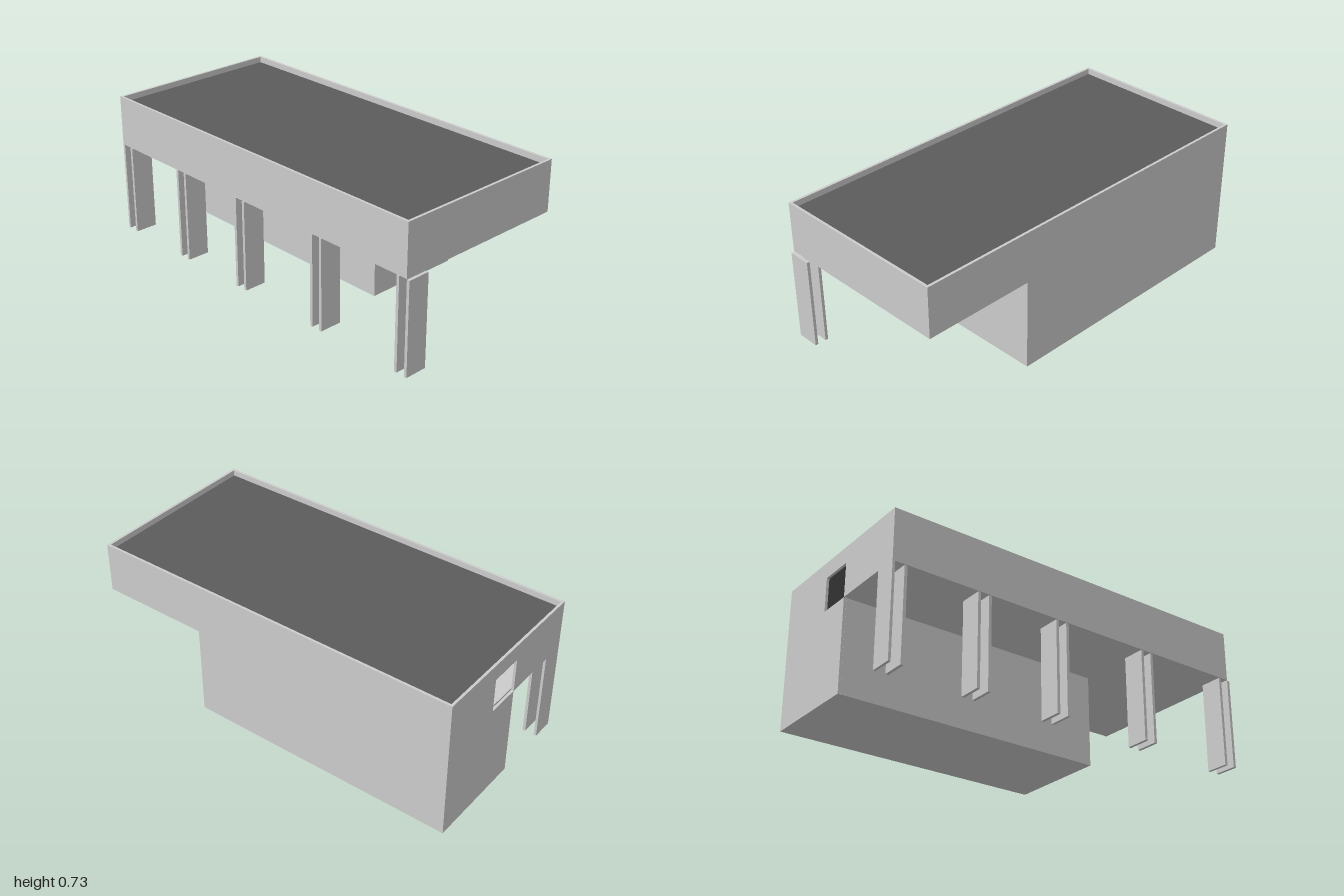
import * as THREE from 'three';

const HALF = 0.466;    // half of the building width
const T = 0.013;       // wall thickness
const TOP = 0.73;      // parapet top
const DECK = 0.47;     // underside of the upper storey
const BACK = -1, FRONT = 0.985;
const ROOM_X = -0.06;  // inner side of the ground floor room
const ROOM_Z = 0.41;   // front of the ground floor room

export function createModel() {
  const group = new THREE.Group();
  const grey = new THREE.MeshStandardMaterial({ color: 0xcccccc, flatShading: true });
  const dark = new THREE.MeshStandardMaterial({ color: 0x5c5c5c, flatShading: true });

  // Box given by its limits on each axis
  const box = (name, x0, x1, y0, y1, z0, z1, material = grey) => {
    const mesh = new THREE.Mesh(new THREE.BoxGeometry(x1 - x0, y1 - y0, z1 - z0), material);
    mesh.position.set((x0 + x1) / 2, (y0 + y1) / 2, (z0 + z1) / 2);
    mesh.name = name;
    group.add(mesh);
  };

  // Wall cut from an outline, T thick
  const wall = (name, points) => {
    const shape = new THREE.Shape(points.map(([x, y]) => new THREE.Vector2(x, y)));
    const mesh = new THREE.Mesh(new THREE.ExtrudeGeometry(shape, { depth: T, bevelEnabled: false }), grey);
    mesh.name = name;
    group.add(mesh);
    return mesh;
  };

  // Back wall: runs down into the last pillar, with a square window above the room's corner
  const e = 0.0005;
  wall('backWall', [
    [HALF, 0], [HALF, TOP], [-HALF, TOP], [-HALF, 0], [-0.35, 0], [-0.35, DECK],
    [ROOM_X - e, DECK], [ROOM_X - e, 0.645], [0.115, 0.645], [0.115, DECK],
    [ROOM_X + e, DECK - e], [ROOM_X + e, 0],
  ]).position.z = BACK;

  // L-shaped wall covering both storeys on the room side
  const sideWall = wall('tallSideWall', [
    [-FRONT + T, DECK], [-ROOM_Z, DECK], [-ROOM_Z, 0],
    [-BACK - T, 0], [-BACK - T, TOP], [-FRONT + T, TOP],
  ]);
  sideWall.rotation.y = Math.PI / 2;
  sideWall.position.x = HALF - T;

  // Upper storey
  box('shortSideWall', -HALF, -HALF + T, DECK, TOP, BACK + T, FRONT - T);
  box('frontWall', -HALF, HALF, DECK, TOP, FRONT - T, FRONT);
  box('upperFloor', -HALF + T, HALF - T, DECK, DECK + 0.01, BACK + T, FRONT - T);
  box('roof', -HALF + T, HALF - T, 0.685, 0.7, BACK + T, FRONT - T, dark);

  // Ground floor room
  box('roomFrontWall', ROOM_X, HALF - T, 0, DECK, ROOM_Z - T, ROOM_Z);
  box('roomSideWall', ROOM_X, ROOM_X + T, 0, DECK, BACK + T, ROOM_Z - T);
  box('roomFloor', ROOM_X + T, HALF - T, 0, T, BACK + T, ROOM_Z - T);

  // Pillars: pairs of thin upright panels; the last pair shares the back wall
  [1, 0.475, -0.047, -0.485, -0.925].forEach((z, i) => {
    box('pillarPanel', -HALF, -0.35, 0, 0.467, z - 0.015, z);
    if (i < 4) box('pillarPanel', -HALF, -0.35, 0, 0.467, z - 0.073, z - 0.058);
  });

  return group;
}
